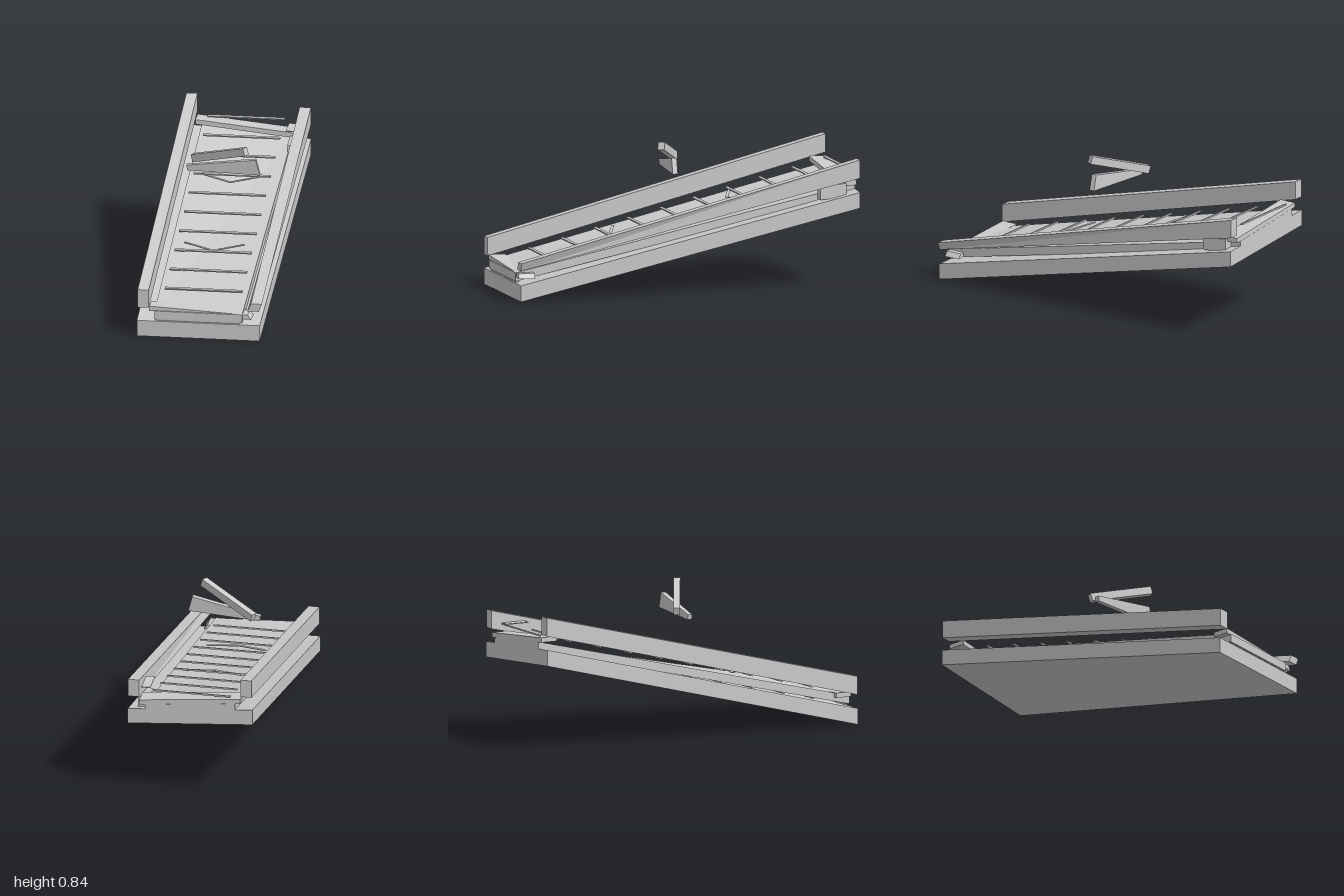
import * as THREE from 'three';

const material = new THREE.MeshStandardMaterial({ color: 0xcccccc, flatShading: true });
const SLOPE = Math.atan(0.25);

// Bent block between two four-cornered ends (each: bottom left, bottom right, top right, top left)
function block(name, near, far) {
  const p = [...near, ...far];
  const quads = [[0, 1, 2, 3], [5, 4, 7, 6], [3, 2, 6, 7], [4, 5, 1, 0], [1, 5, 6, 2], [4, 0, 3, 7]];
  const pos = [];
  for (const [a, b, c, d] of quads) for (const i of [a, b, c, a, c, d]) pos.push(...p[i]);
  const g = new THREE.BufferGeometry();
  g.setAttribute('position', new THREE.Float32BufferAttribute(pos, 3));
  g.computeVertexNormals();
  const m = new THREE.Mesh(g, material);
  m.name = name;
  return m;
}

// End section at depth z; left and right sides may sit at different heights
const section = (z, x0, x1, left, right = left) =>
  [[x0, left[0], z], [x1, right[0], z], [x1, right[1], z], [x0, left[1], z]];

function box(name, w, h, d, x, y, z, tilt = 0) {
  const m = new THREE.Mesh(new THREE.BoxGeometry(w, h, d), material);
  m.name = name;
  m.position.set(x, y, z);
  m.rotation.x = tilt;
  return m;
}

// Straight bar between two points
function bar(name, a, b, w, h) {
  const from = new THREE.Vector3(...a), to = new THREE.Vector3(...b);
  const m = new THREE.Mesh(new THREE.BoxGeometry(w, h, from.distanceTo(to)), material);
  m.name = name;
  m.position.copy(from).add(to).multiplyScalar(0.5);
  m.lookAt(to);
  return m;
}

export function createModel() {
  const model = new THREE.Group();
  model.name = 'brokenConveyor';

  // Sloping, slightly twisted base and belt
  model.add(block('base',
    section(1, -0.36, 0.34, [0, 0.092]),
    section(-1, -0.36, 0.356, [0.5, 0.592], [0.445, 0.535])));
  model.add(block('belt',
    section(1, -0.26, 0.24, [0.103, 0.152]),
    section(-1, -0.26, 0.257, [0.575, 0.624], [0.52, 0.57])));

  // Side rails: the right one is crushed at its low end
  model.add(block('rightRail',
    section(1, -0.355, -0.292, [0.17, 0.275]),
    section(-1, -0.355, -0.292, [0.67, 0.775])));
  model.add(block('leftRail',
    [[0.27, 0.175, 1], [0.335, 0.175, 1], [0.352, 0.22, 1], [0.29, 0.22, 1]],
    section(-1, 0.29, 0.354, [0.615, 0.72])));

  // Tilted crossbars at both ends
  model.add(block('frontCrossbar',
    [[-0.29, 0.15, 0.995], [0.29, 0.123, 0.995], [0.27, 0.15, 0.995], [-0.29, 0.178, 0.995]],
    [[-0.29, 0.15, 0.9], [0.29, 0.123, 0.9], [0.27, 0.15, 0.9], [-0.29, 0.178, 0.9]]));
  model.add(block('backCrossbar',
    section(-0.9, -0.29, 0.29, [0.625, 0.652], [0.567, 0.596]),
    section(-0.999, -0.29, 0.29, [0.625, 0.652], [0.567, 0.596])));

  // Slats above and below the belt
  for (let i = 0; i < 10; i++) {
    const z = 0.775 - i * 0.1945;
    model.add(box('topSlat', 0.44, 0.008, 0.016, -0.01, 0.215 + i * 0.0487, z, SLOPE));
    model.add(box('bottomSlat', 0.476 + i * 0.003, 0.008, 0.016, -0.012, 0.152 + i * 0.0457, z, SLOPE));
  }
  model.add(box('bottomSlat', 0.475, 0.008, 0.016, -0.012, 0.099, 0.985, SLOPE));

  // V-shaped tears lying on the belt
  for (const [x, y, z] of [[-0.01, 0.485, -0.325], [-0.015, 0.309, 0.362]])
    for (const s of [-1, 1])
      model.add(bar('tear', [x, y, z], [x + s * 0.17, y + 0.019, z - 0.07], 0.016, 0.004));

  // Loose bracket and plate by the left rail
  model.add(block('bracket',
    section(-0.78, 0.25, 0.31, [0.495, 0.565]),
    section(-0.935, 0.25, 0.31, [0.505, 0.585])));
  model.add(box('loosePlate', 0.09, 0.005, 0.14, 0.285, 0.643, -0.86));

  // Debris above the belt
  model.add(bar('looseBeam', [-0.185, 0.71, -0.07], [0.137, 0.82, 0.108], 0.038, 0.045));
  model.add(block('looseWedge',
    [[0.21, 0.666, 0.062], [0.21, 0.666, 0.032], [0.187, 0.755, 0.032], [0.187, 0.755, 0.062]],
    [[-0.21, 0.661, 0.012], [-0.21, 0.661, -0.014], [-0.215, 0.691, -0.014], [-0.215, 0.691, 0.012]]));

  return model;
}
